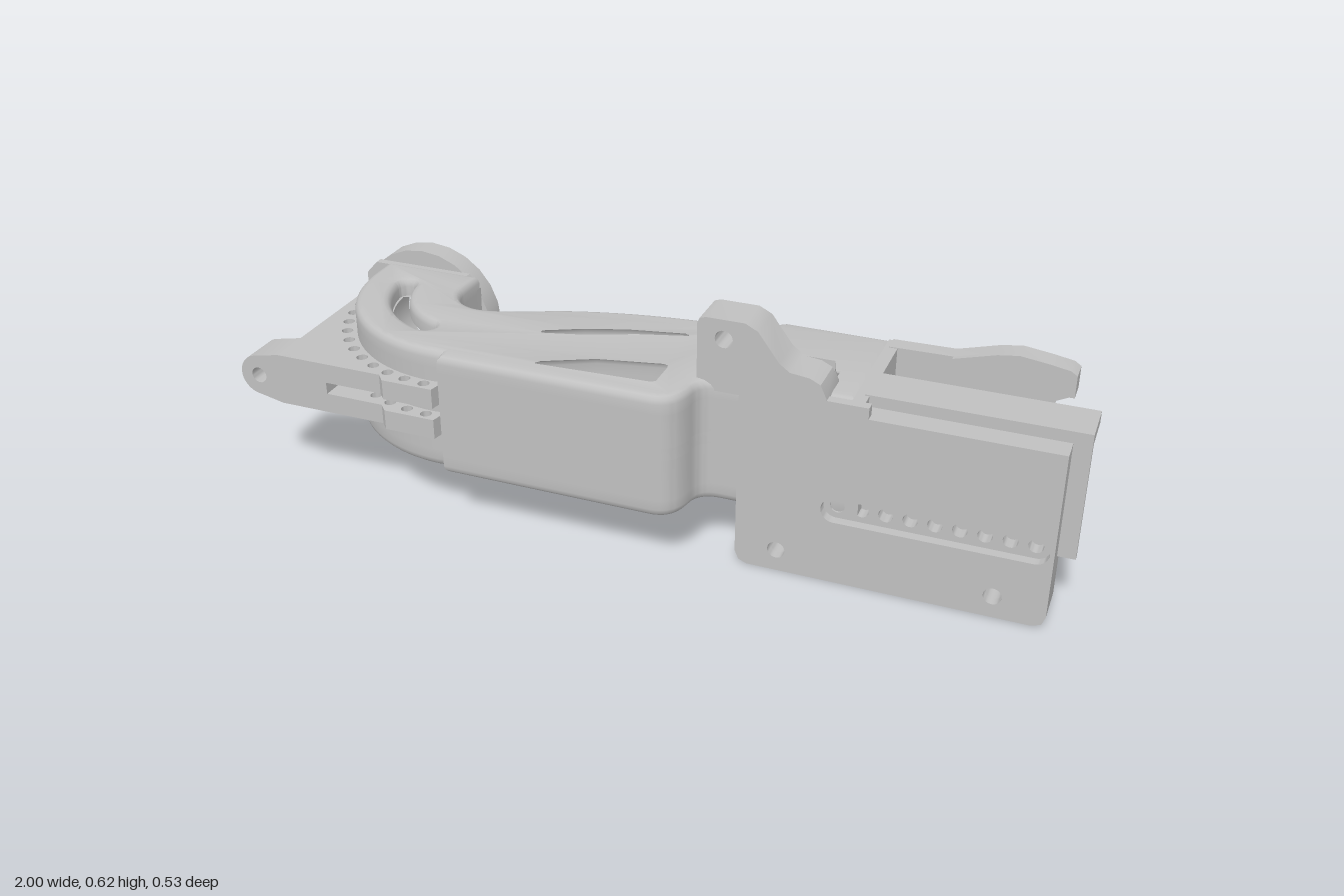
import * as THREE from 'three';
import { toCreasedNormals } from 'three/addons/utils/BufferGeometryUtils.js';

const MID = 0.31;              // mid height of the duct
const [BX, BZ] = [-0.48, -0.13]; // plan centre of the elbow
const BORE_BEND = 0.235, BORE = 0.108;

export function createModel() {
  const group = new THREE.Group();
  const grey = new THREE.MeshStandardMaterial({ color: 0xc0c0c0, side: THREE.DoubleSide });
  grey.name = 'grey plastic';

  const add = (name, geo) => {
    const m = new THREE.Mesh(toCreasedNormals(geo, 0.55), grey);
    m.name = name;
    group.add(m);
    return m;
  };
  const box = (name, x0, x1, y0, y1, z0, z1) => add(name,
    new THREE.BoxGeometry(x1 - x0, y1 - y0, z1 - z0).translate((x0 + x1) / 2, (y0 + y1) / 2, (z0 + z1) / 2));
  const poly = (pts, T = THREE.Shape) => new T(pts.map(p => new THREE.Vector2(...p)));
  const circle = (x, y, r) => new THREE.Path().absarc(x, y, r, 0, Math.PI * 2, true);
  const slot = (x0, x1, y0, y1) => {
    const r = (y1 - y0) / 2, y = (y0 + y1) / 2;
    return new THREE.Path().absarc(x0 + r, y, r, Math.PI / 2, Math.PI * 1.5)
      .absarc(x1 - r, y, r, -Math.PI / 2, Math.PI / 2);
  };
  const extrude = (s, depth, opt = {}) =>
    new THREE.ExtrudeGeometry(s, { depth, bevelEnabled: false, curveSegments: 12, ...opt });
  // plan shapes use (x, -z), front shapes (x, y), end shapes (-z, y)
  const plan = (s, y0, y1) => extrude(s, y1 - y0).rotateX(-Math.PI / 2).translate(0, y0, 0);
  const front = (s, z0, z1) => extrude(s, z1 - z0).translate(0, 0, z0);
  const end = (s, x0, x1) => extrude(s, x1 - x0).rotateY(Math.PI / 2).translate(x0, 0, 0);
  // keeps only the triangles whose centre and normal pass a test
  const keep = (geo, test) => {
    const g = geo.index ? geo.toNonIndexed() : geo, p = g.attributes.position, out = [];
    const t = new THREE.Triangle(), c = new THREE.Vector3(), n = new THREE.Vector3();
    for (let i = 0; i < p.count; i += 3) {
      t.setFromAttributeAndIndices(p, i, i + 1, i + 2);
      t.getMidpoint(c); t.getNormal(n);
      if (test(c, n)) out.push(...t.a.toArray(), ...t.b.toArray(), ...t.c.toArray());
    }
    const r = new THREE.BufferGeometry();
    r.setAttribute('position', new THREE.Float32BufferAttribute(out, 3));
    r.computeVertexNormals();
    return r;
  };

  // plan outline of the duct body
  const outline = () => {
    const s = new THREE.Shape();
    s.moveTo(-0.57, 0.2);
    s.lineTo(-0.57, 0.12);
    s.absarc(-0.48, 0.12, 0.09, Math.PI, Math.PI * 1.5, false);
    s.quadraticCurveTo(-0.42, 0.035, -0.31, 0.09);
    s.quadraticCurveTo(-0.1, 0.17, 0.18, 0.175);
    s.lineTo(0.2, 0.2);
    s.lineTo(0.24, 0.228);
    s.lineTo(0.5, 0.228);
    s.lineTo(0.5, -0.095);
    s.lineTo(0.26, -0.095);
    s.lineTo(0.26, -0.122);
    s.lineTo(0.2, -0.122);
    s.quadraticCurveTo(0.15, -0.122, 0.145, -0.17);
    s.quadraticCurveTo(0.135, -0.246, 0.07, -0.246);
    s.lineTo(-0.45, -0.246);
    s.lineTo(-0.455, -0.22);
    s.absarc(BX, -BZ, 0.352, -Math.PI / 2, -Math.PI, true);
    s.lineTo(-0.832, 0.2);
    return s;
  };
  // side walls, with a narrow window through the outside of the elbow
  for (const [y0, y1] of [[0.2, 0.305], [0.305, 0.335], [0.335, 0.42]]) {
    add('bodySides', keep(plan(outline(), y0, y1), (c, n) => {
      const open = (c.x < -0.5 && c.z < -0.199) || c.x > 0.499;
      const window = y0 === 0.305 && c.x > -0.76 && c.x < -0.62 && c.z > 0;
      return Math.abs(n.y) < 0.5 && !open && !window;
    }));
  }

  // roof and floor, with pockets and the curved elbow slot
  const pocket = [[-0.25, -0.195], [-0.23, -0.165], [-0.11, -0.105], [0.05, -0.07], [0.075, -0.08],
    [0.08, -0.1], [0.08, -0.18], [0.06, -0.198], [-0.23, -0.212]];
  const roof = outline();
  roof.holes.push(poly(pocket, THREE.Path));
  roof.holes.push(poly([[-0.3, -0.05], [-0.3, -0.02], [-0.2, 0.03], [-0.1, 0.065], [0.04, 0.095],
    [0.065, 0.085], [0.07, 0.055], [-0.06, 0.015], [-0.18, -0.035], [-0.28, -0.062]], THREE.Path));
  const a0 = Math.PI * 1.05, a1 = Math.PI * 1.4, sr = 0.022, slotR = 0.242;
  const at = a => [BX + slotR * Math.cos(a), -BZ + slotR * Math.sin(a)];
  const bendSlot = new THREE.Path();
  bendSlot.absarc(BX, -BZ, slotR + sr, a0, a1, false);
  bendSlot.absarc(...at(a1), sr, a1, a1 + Math.PI, false);
  bendSlot.absarc(BX, -BZ, slotR - sr, a1, a0, true);
  bendSlot.absarc(...at(a0), sr, a0 + Math.PI, a0 + Math.PI * 2, false);
  roof.holes.push(bendSlot);
  const roofGeo = keep(extrude(roof, 0.025,
    { bevelEnabled: true, bevelSize: 0.018, bevelThickness: 0.02, bevelOffset: -0.018, bevelSegments: 3 })
    .rotateX(-Math.PI / 2).translate(0, 0.42, 0), c => c.y > 0.4205);
  const liner = keep(plan(poly(pocket), 0.385, 0.421), c => c.y < 0.4205);
  for (const [name, geo] of [['Skin', roofGeo], ['Pocket', liner]]) {
    add('roof' + name, geo);
    const m = add('floor' + name, geo);
    m.scale.y = -1;
    m.position.y = 2 * MID;
  }

  // round bore swept from the ring to the open end
  const path = [[BX - BORE_BEND, -0.265], [BX - BORE_BEND, -0.2]];
  for (let i = 0; i <= 20; i++) {
    const a = Math.PI * (1 + i / 40);
    path.push([BX + BORE_BEND * Math.cos(a), BZ - BORE_BEND * Math.sin(a)]);
  }
  path.push(...new THREE.CatmullRomCurve3([[-0.48, 0.105], [-0.35, 0.09], [-0.2, 0.04], [0, -0.03], [0.2, -0.065], [0.52, -0.07]]
    .map(([x, z]) => new THREE.Vector3(x, 0, z))).getPoints(20).slice(1).map(v => [v.x, v.z]));
  const N = 24, pos = [], idx = [];
  path.forEach(([x, z], i) => {
    const p = path[Math.max(i - 1, 0)], q = path[Math.min(i + 1, path.length - 1)];
    const l = Math.hypot(q[0] - p[0], q[1] - p[1]), nx = -(q[1] - p[1]) / l, nz = (q[0] - p[0]) / l;
    for (let j = 0; j < N; j++) {
      const a = j / N * Math.PI * 2, c = Math.cos(a) * BORE;
      pos.push(x + nx * c, MID + Math.sin(a) * BORE, z + nz * c);
      // openings behind the elbow slots and window
      const gap = (i > 2 && i < 19 && [5, 6, 17, 18].includes(j)) || (i > 9 && i < 17 && [0, 23].includes(j));
      if (i + 1 < path.length && !gap) {
        const b = i * N, k = (j + 1) % N;
        idx.push(b + j, b + N + j, b + k, b + k, b + N + j, b + N + k);
      }
    }
  });
  const bore = new THREE.BufferGeometry();
  bore.setAttribute('position', new THREE.Float32BufferAttribute(pos, 3));
  bore.setIndex(idx);
  add('bore', bore);

  // inlet ring and its backing plate
  const ring = new THREE.Shape().absarc(-0.735, 0.318, 0.187, 0, Math.PI * 2);
  ring.holes.push(circle(-0.725, MID, 0.116));
  add('inletRing', front(ring, -0.265, -0.205));
  const neck = poly([[-0.89, 0.19], [-0.86, 0.157], [-0.6, 0.157], [-0.57, 0.19], [-0.57, 0.43], [-0.6, 0.463], [-0.86, 0.463], [-0.89, 0.43]]);
  neck.holes.push(circle(BX - BORE_BEND, MID, BORE));
  add('inletNeck', front(neck, -0.206, -0.185));

  // bulkhead where the bore opens into the tray
  const bulk = poly([[-0.1, 0.157], [0.226, 0.157], [0.226, 0.463], [-0.1, 0.463]]);
  bulk.holes.push(circle(0.07, MID, 0.11));
  add('bulkhead', end(bulk, 0.49, 0.52));

  // drilled flanges around the elbow and along the back
  const web = new THREE.Shape();
  web.moveTo(-0.89, 0.2);
  web.lineTo(-0.89, -0.24);
  web.lineTo(-0.61, -0.24);
  web.lineTo(-0.59, -0.262);
  web.lineTo(-0.46, -0.262);
  web.lineTo(-0.45, -0.21);
  web.absarc(BX, -BZ, 0.345, -Math.PI / 2, -Math.PI, true);
  web.lineTo(-0.825, 0.2);
  for (let i = 0; i < 12; i++) {
    const a = Math.PI * (0.99 + i * 0.0455);
    web.holes.push(circle(BX + 0.379 * Math.cos(a), -BZ + 0.37 * Math.sin(a), 0.014));
  }
  const arc = new THREE.QuadraticBezierCurve(new THREE.Vector2(-0.3, 0.11), new THREE.Vector2(-0.08, 0.205), new THREE.Vector2(0.17, 0.207));
  const strip = new THREE.Shape();
  strip.moveTo(-0.31, 0.07);
  strip.lineTo(-0.3, 0.13);
  strip.quadraticCurveTo(-0.08, 0.23, 0.17, 0.234);
  strip.lineTo(0.185, 0.21);
  strip.lineTo(0.185, 0.16);
  strip.quadraticCurveTo(-0.1, 0.15, -0.31, 0.07);
  for (let i = 0; i < 9; i++) {
    const p = arc.getPoint(0.07 + i * 0.107);
    strip.holes.push(circle(p.x, p.y, 0.014));
  }
  for (const [y0, y1] of [[0.255, 0.305], [0.335, 0.385]]) {
    add('elbowFlange', plan(web, y0, y1));
    add('backFlange', plan(strip, y0, y1));
  }

  // pivot ear
  const ear = new THREE.Shape();
  ear.absarc(-0.948, 0.32, 0.052, Math.PI * 0.6, Math.PI * 1.4, false);
  ear.lineTo(-0.89, 0.255);
  ear.lineTo(-0.76, 0.255);
  ear.lineTo(-0.76, 0.385);
  ear.lineTo(-0.89, 0.385);
  ear.holes.push(circle(-0.95, 0.32, 0.02));
  add('pivotEar', front(ear, 0.14, 0.24));

  // mounting flange: slotted face over a drilled backing, then the tray walls
  const flange = top => {
    const s = poly([[0.24, 0.03], [0.25, 0.008], [0.27, 0], [0.93, 0], [0.952, 0.008], [0.96, 0.03], ...top]);
    s.holes.push(circle(0.34, 0.055, 0.021), circle(0.84, 0.055, 0.021));
    return s;
  };
  const face = flange([[0.96, 0.438], [0.535, 0.438], [0.535, 0.465], [0.24, 0.465]]);
  const backing = flange([[0.96, 0.225], [0.24, 0.225]]);
  face.holes.push(slot(0.44, 0.95, 0.16, 0.222));
  for (let i = 0; i < 9; i++) backing.holes.push(circle(0.473 + i * 0.0555, 0.191, 0.017));
  add('mountFace', front(face, 0.1, 0.124));
  add('mountBacking', front(backing, 0.025, 0.1));
  box('trayFrontWall', 0.5, 0.96, 0.22, 0.438, 0.055, 0.1);
  box('trayFrontLiner', 0.95, 1, 0.155, 0.465, 0.05, 0.066);
  box('trayLip', 0.51, 1, 0.436, 0.466, -0.047, 0.066);

  // upper mounting tab
  const tab = poly([[0.14, 0.44], [0.14, 0.6], [0.145, 0.612], [0.16, 0.617], [0.25, 0.617], [0.28, 0.602], [0.33, 0.535],
    [0.355, 0.517], [0.4, 0.512], [0.425, 0.5], [0.44, 0.468], [0.44, 0.44]]);
  tab.holes.push(circle(0.202, 0.57, 0.021));
  add('upperTab', front(tab, 0.025, 0.124));

  // concave fillets at the roots of the tab and the flange
  const fillet = (y, d) => {
    const s = new THREE.Shape();
    s.moveTo(-0.03, y + d * 0.052);
    s.quadraticCurveTo(-0.022, y, 0.035, y);
    s.lineTo(-0.03, y);
    return s;
  };
  add('tabFillet', end(fillet(0.464, 1), 0.15, 0.43));
  add('flangeFillet', end(fillet(0.156, -1), 0.24, 0.96));

  // tray floor with a long slit, and the hooked back wall
  const floor = poly([[0.5, -0.066], [0.97, -0.066], [0.97, 0.21], [0.95, 0.226], [0.5, 0.226]]);
  floor.holes.push(poly([[0.52, 0.05], [0.95, 0.05], [0.95, 0.086], [0.52, 0.086]], THREE.Path));
  add('trayFloor', plan(floor, 0.155, 0.205));
  const crest = [[0.93, 0.42], [0.93, 0.475], [0.915, 0.485], [0.87, 0.493], [0.8, 0.502], [0.75, 0.495], [0.65, 0.467]];
  const wall = poly([[0.5, 0.155], [0.97, 0.155], [0.97, 0.2], [0.9, 0.215], [0.88, 0.25], [0.88, 0.37], [0.89, 0.4],
    ...crest, [0.5, 0.465]]);
  add('trayBackWall', front(wall, -0.228, -0.185));
  add('backHook', front(poly([...crest, [0.65, 0.42]]), -0.22, -0.172));

  return group;
}
